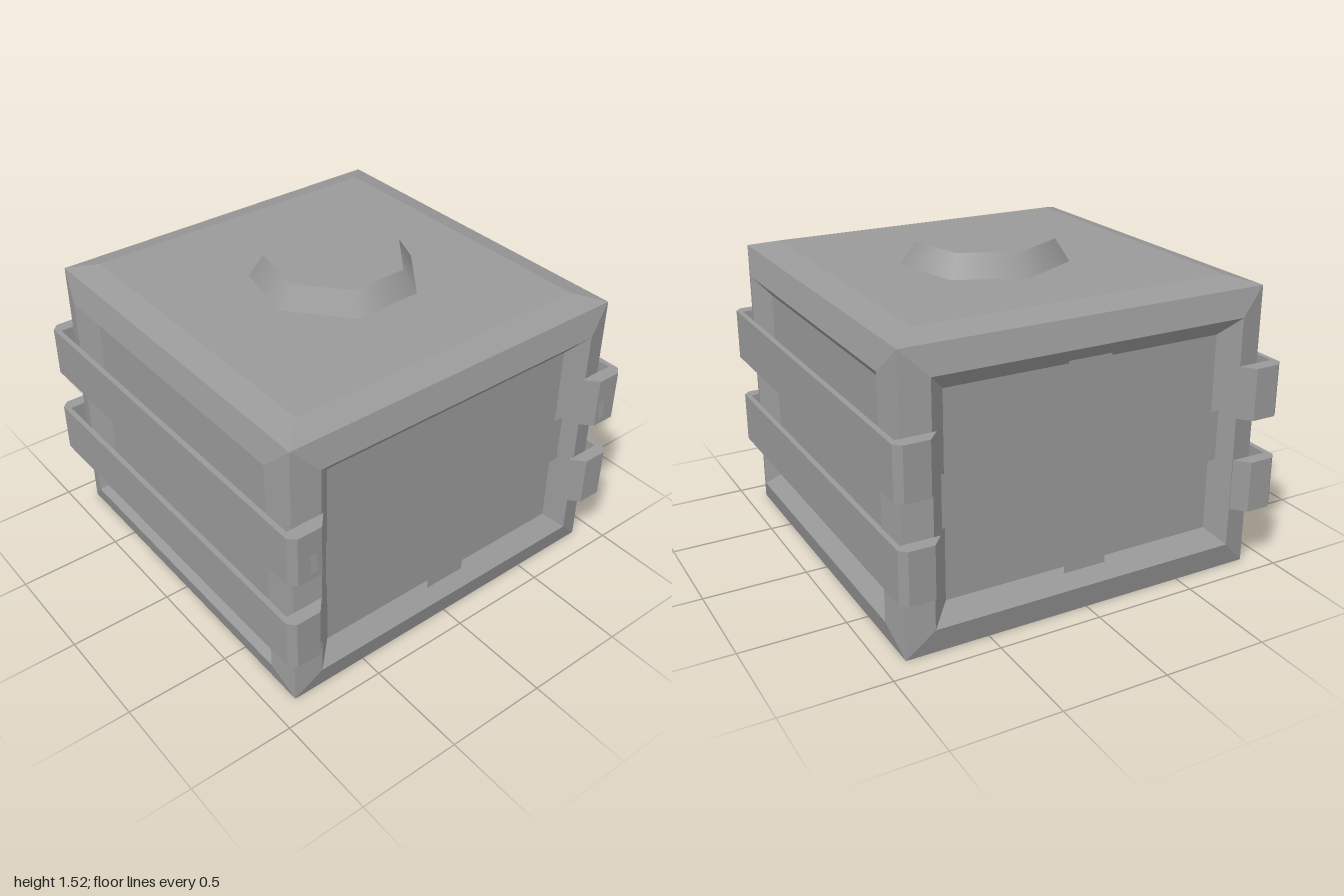
import * as THREE from 'three';

const COLOR = 0x999999;
const faceted = new THREE.MeshStandardMaterial({ color: COLOR, flatShading: true });
const smooth = new THREE.MeshStandardMaterial({ color: COLOR });
const thin = new THREE.MeshStandardMaterial({ color: COLOR, side: THREE.DoubleSide });

function addMesh(parent, name, geometry, material = faceted) {
  const mesh = new THREE.Mesh(geometry, material);
  mesh.name = name;
  parent.add(mesh);
  return mesh;
}

// Face built from nested rectangles [halfWidth, bottom, top, z], closed by the last one
function nestedFace(rings) {
  const corners = rings.map(([w, b, t, z]) => [[-w, b, z], [w, b, z], [w, t, z], [-w, t, z]]);
  const points = [];
  const quad = (a, b, c, d) => points.push(...a, ...b, ...c, ...a, ...c, ...d);
  for (let r = 0; r < corners.length - 1; r++) {
    const outer = corners[r], inner = corners[r + 1];
    for (let i = 0; i < 4; i++) {
      const j = (i + 1) % 4;
      quad(outer[i], outer[j], inner[j], inner[i]);
    }
  }
  quad(...corners[corners.length - 1]);
  const geometry = new THREE.BufferGeometry();
  geometry.setAttribute('position', new THREE.Float32BufferAttribute(points, 3));
  geometry.computeVertexNormals();
  return geometry;
}

function shapeFrom(points) {
  return new THREE.Shape(points.map(([x, y]) => new THREE.Vector2(x, y)));
}

// C-shaped strap seen from above, hooked round both corners
function strapGeometry(height) {
  const half = [[0.75, 0.925], [0.805, 0.988], [0.925, 0.988], [0.957, 0.957]];
  const outer = [...half, ...half.map(([x, z]) => [x, -z]).reverse()];
  const inner = [[0.932, -0.925], [0.932, 0.925]];
  const geometry = new THREE.ExtrudeGeometry(shapeFrom([...outer, ...inner]), { depth: height, bevelEnabled: false });
  return geometry.rotateX(-Math.PI / 2);
}

// Plus-shaped brace, barely proud of the recessed panel
function crossGeometry() {
  const w = 0.108, end = 0.703, b = 0.565, t = 0.81;
  const shape = shapeFrom([
    [-w, 0.19], [w, 0.19], [w, b], [end, b], [end, t], [w, t],
    [w, 1.19], [-w, 1.19], [-w, t], [-end, t], [-end, b], [-w, b],
  ]);
  return new THREE.ShapeGeometry(shape).translate(0, 0, 0.872);
}

export function createModel() {
  const model = new THREE.Group();
  model.name = 'crate';

  // Body: four framed sides, a bevelled lid and a flat base
  const body = new THREE.Group();
  body.name = 'body';
  body.position.set(0.006, 0, -0.004);
  model.add(body);
  const side = nestedFace([
    [0.89, 0, 1.38, 0.89],
    [0.765, 0.13, 1.255, 0.924],
    [0.68, 0.21, 1.17, 0.85],
  ]);
  ['frontPanel', 'leftPanel', 'backPanel', 'rightPanel'].forEach((name, i) => {
    addMesh(body, name, side).rotation.y = i * Math.PI / 2;
  });
  addMesh(body, 'lid', nestedFace([
    [0.89, -0.89, 0.89, 1.38],
    [0.768, -0.768, 0.768, 1.415],
  ])).rotation.x = -Math.PI / 2;
  addMesh(body, 'base', nestedFace([[0.89, -0.89, 0.89, 0]])).rotation.x = Math.PI / 2;

  // Cross braces on the front and back
  const cross = crossGeometry();
  addMesh(body, 'frontCross', cross, thin);
  addMesh(body, 'backCross', cross, thin).rotation.y = Math.PI;

  // Seven-sided cap on the lid, shaded smoothly round its sides
  const cap = addMesh(model, 'lidCap', new THREE.CylinderGeometry(0.331, 0.4, 0.105, 7), smooth);
  cap.position.set(0.044, 1.4675, -0.012);
  cap.rotation.y = Math.PI + 0.03;

  // Two straps on each side, each with a small flat tongue at the front
  const strap = strapGeometry(0.25);
  const straps = [
    { x: 0.003, y: 0.78, sign: 1, upper: true },
    { x: -0.007, y: 0.32, sign: 1, upper: false },
    { x: 0.002, y: 0.78, sign: -1, upper: true },
    { x: -0.008, y: 0.32, sign: -1, upper: false },
  ];
  for (const { x, y, sign, upper } of straps) {
    const label = (upper ? 'upper' : 'lower') + (sign > 0 ? 'Left' : 'Right');
    const mesh = addMesh(model, label + 'Strap', strap);
    mesh.position.set(x, y, -0.008);
    if (sign < 0) mesh.rotation.y = Math.PI;

    const tongue = addMesh(model, label + 'Tongue', new THREE.PlaneGeometry(0.035, upper ? 0.11 : 0.195), thin);
    tongue.position.set(sign * 0.842 - 0.005, upper ? 0.875 : 0.458, upper ? 0.984 : 0.993);
    // The upper tongues lean back into the strap
    if (upper) tongue.rotation.x = -0.12;
  }

  return model;
}
